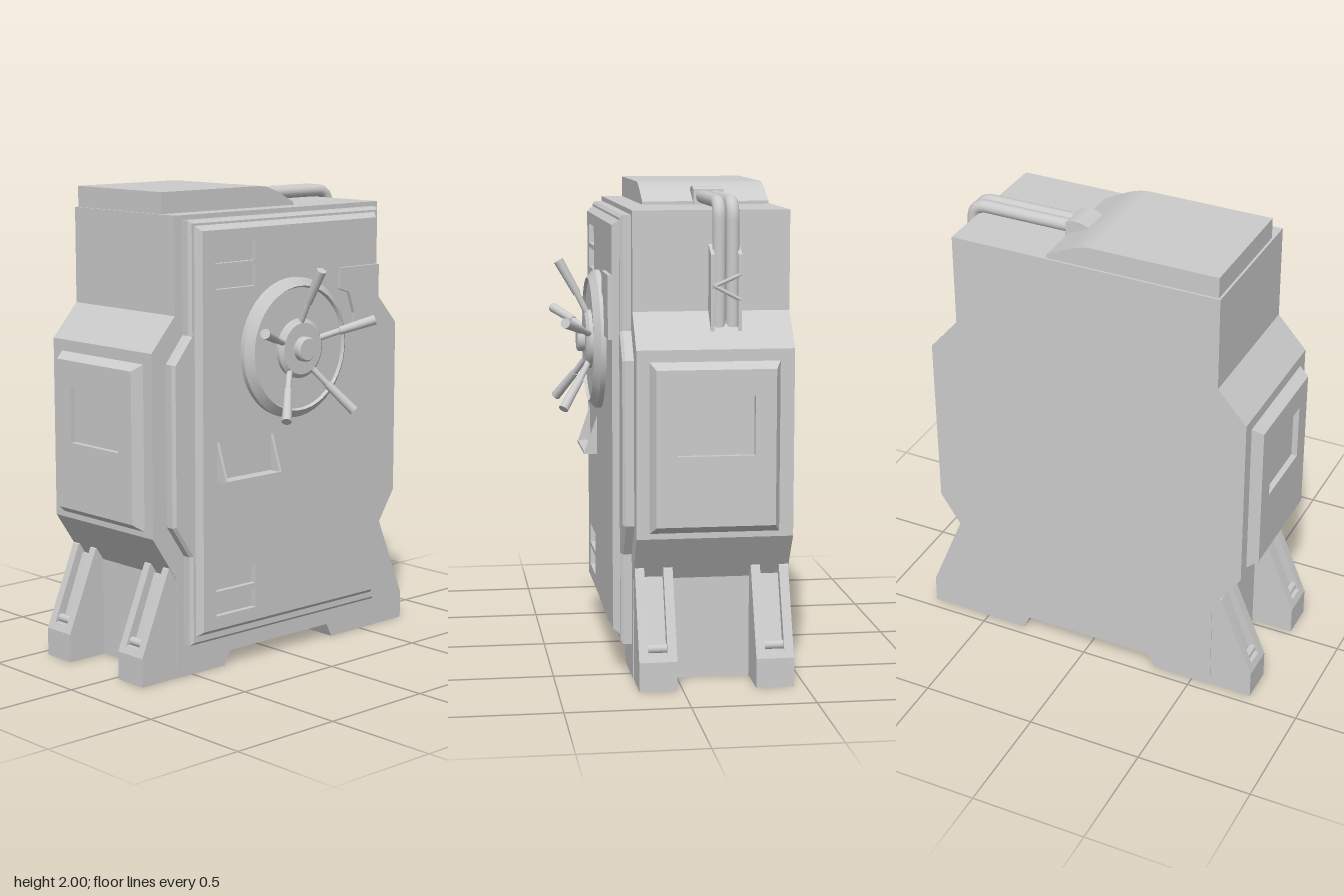
import * as THREE from 'three';
import { mergeGeometries } from 'three/addons/utils/BufferGeometryUtils.js';

const mat = new THREE.MeshStandardMaterial({ color: 0xcccccc });
const thinMat = new THREE.MeshStandardMaterial({ color: 0xcccccc, side: THREE.DoubleSide });

function add(parent, name, geo, material = mat) {
  const mesh = new THREE.Mesh(geo, material);
  mesh.name = name;
  parent.add(mesh);
  return mesh;
}

const shapeOf = pts => new THREE.Shape(pts.map(p => new THREE.Vector2(p[0], p[1])));
const mirrored = half => [...half, ...half.map(([x, y]) => [-x, y]).reverse()];
const rect = (x0, y0, x1, y1) => [[x0, y0], [x1, y0], [x1, y1], [x0, y1]];

// Prism from an outline in x/y, running from z0 to z1
function prism(pts, z0, z1, bevel = 0) {
  const geo = new THREE.ExtrudeGeometry(pts instanceof THREE.Shape ? pts : shapeOf(pts), {
    depth: z1 - z0 - 2 * bevel, bevelEnabled: bevel > 0, bevelSize: bevel,
    bevelThickness: bevel, bevelOffset: -bevel, bevelSegments: 1, curveSegments: 12,
  });
  return geo.translate(0, 0, z0 + bevel);
}

// Flat-sided walls between two counter-clockwise loops
function band(a, za, b, zb) {
  const v = [], uv = [];
  a.forEach((p, i) => {
    const j = (i + 1) % a.length, q = a[j], r = b[j], s = b[i];
    v.push(...p, za, ...q, za, ...r, zb, ...p, za, ...r, zb, ...s, zb);
    uv.push(0, 0, 1, 0, 1, 1, 0, 0, 1, 1, 0, 1);
  });
  const geo = new THREE.BufferGeometry();
  geo.setAttribute('position', new THREE.Float32BufferAttribute(v, 3));
  geo.setAttribute('uv', new THREE.Float32BufferAttribute(uv, 2));
  geo.computeVertexNormals();
  return geo;
}

// Raised panel with sloping edges and rectangular pockets
function pocketPanel(outer, inner, z0, z1, pockets, floorZ) {
  const face = shapeOf(inner);
  const parts = [band(outer, z0, inner, z1)];
  for (const p of pockets) {
    face.holes.push(new THREE.Path(p.map(q => new THREE.Vector2(q[0], q[1]))));
    parts.push(band(p, z1, p, floorZ));
    parts.push(new THREE.ShapeGeometry(shapeOf(p)).toNonIndexed().translate(0, 0, floorZ));
  }
  parts.push(new THREE.ShapeGeometry(face).toNonIndexed().translate(0, 0, z1));
  return mergeGeometries(parts);
}

// Round bar between two points
function bar(a, b, r0, r1, sides = 16) {
  const d = b.clone().sub(a);
  const geo = new THREE.CylinderGeometry(r1, r0, d.length(), sides);
  geo.applyQuaternion(new THREE.Quaternion().setFromUnitVectors(new THREE.Vector3(0, 1, 0), d.clone().normalize()));
  return geo.translate(...a.clone().add(b).multiplyScalar(0.5).toArray());
}

// Turned part whose axis points to the front, with each profile step kept sharp
function turned(profile) {
  const parts = [];
  for (let i = 0; i + 1 < profile.length; i++) {
    parts.push(new THREE.LatheGeometry([profile[i], profile[i + 1]].map(p => new THREE.Vector2(...p)), 48));
  }
  return mergeGeometries(parts).rotateX(Math.PI / 2);
}

function addFeet(root) {
  const rail = [[0.57, 0], [0.77, 0], [0.77, 0.12], [0.625, 0.47], [0.61, 0.48], [0.57, 0.44]];
  const core = [[0.57, 0], [0.77, 0], [0.77, 0.12], [0.757, 0.15], [0.715, 0.15], [0.605, 0.43], [0.57, 0.43]];
  for (const side of [1, -1]) {
    for (const z of [0.1, -0.375]) {
      const foot = new THREE.Group();
      foot.name = 'foot';
      for (const o of [-0.058, 0.058]) add(foot, 'footRail', prism(rail, o - 0.019, o + 0.019));
      add(foot, 'footCore', prism(core, -0.04, 0.04));
      add(foot, 'footPin', new THREE.CylinderGeometry(0.018, 0.018, 0.08, 12).rotateX(Math.PI / 2).translate(0.725, 0.165, 0));
      foot.position.z = z;
      if (side < 0) foot.rotation.y = Math.PI;
      root.add(foot);
    }
  }
}

function addWheel(root) {
  const wheel = new THREE.Group();
  wheel.name = 'lockWheel';
  wheel.position.y = 1.335;
  // Profile runs from the rim's back edge to the centre
  add(wheel, 'dialPlate', turned([[0.295, 0.24], [0.295, 0.275], [0.262, 0.303], [0.255, 0.29], [0, 0.29]]));
  add(wheel, 'hub', turned([[0.125, 0.28], [0.125, 0.305], [0.108, 0.318], [0.052, 0.318], [0.052, 0.343], [0.045, 0.35], [0, 0.35]]));
  for (let i = 0; i < 5; i++) {
    const spoke = new THREE.Group();
    spoke.name = 'spoke';
    const root0 = new THREE.Vector3(0, 0.1, 0.3);
    const grip0 = new THREE.Vector3(0, 0.195, 0.347);
    const grip1 = new THREE.Vector3(0, 0.335, 0.425);
    add(spoke, 'spokeRod', bar(root0, grip0, 0.013, 0.013));
    add(spoke, 'spokeGrip', bar(grip0, grip1, 0.017, 0.021));
    spoke.rotation.z = i * Math.PI * 2 / 5;
    wheel.add(spoke);
  }
  root.add(wheel);
}

function addPipes(root) {
  const pipes = new THREE.Group();
  pipes.name = 'pipes';
  for (const z of [-0.217, -0.163]) {
    const path = new THREE.CurvePath();
    const v = (x, y) => new THREE.Vector3(x, y, z);
    path.add(new THREE.LineCurve3(v(0.12, 1.944), v(0.55, 1.944)));
    path.add(new THREE.QuadraticBezierCurve3(v(0.55, 1.944), v(0.617, 1.944), v(0.617, 1.877)));
    path.add(new THREE.LineCurve3(v(0.617, 1.877), v(0.617, 1.45)));
    add(pipes, 'pipe', new THREE.TubeGeometry(path, 80, 0.027, 14));
  }
  // Domed clamp on the roof
  const clamp = new THREE.Shape();
  clamp.moveTo(0.06, 1.9);
  clamp.lineTo(0.18, 1.9);
  clamp.lineTo(0.175, 1.975);
  clamp.quadraticCurveTo(0.12, 2.0, 0.065, 1.965);
  add(pipes, 'roofClamp', prism(clamp, -0.252, -0.125));
  // Side guard: two cheeks with slanted straps across them
  const cheek = [[0.57, 1.785], [0.655, 1.74], [0.655, 1.435], [0.57, 1.53]].reverse();
  for (const z of [-0.25, -0.14]) add(pipes, 'guardCheek', prism(cheek, z, z + 0.015));
  for (const [y0, y1] of [[1.56, 1.62], [1.66, 1.61]]) {
    add(pipes, 'guardStrap', bar(new THREE.Vector3(0.65, y0, -0.245), new THREE.Vector3(0.65, y1, -0.13), 0.008, 0.008, 6));
  }
  root.add(pipes);
}

function addHolder(root) {
  const holder = new THREE.Group();
  holder.name = 'documentHolder';
  // Triangular end walls, drawn in z/y and turned to face sideways
  const end = [[-0.24, 0.815], [-0.24, 1.02], [-0.31, 0.815]];
  for (const x of [-0.425, -0.122]) {
    add(holder, 'holderEnd', prism(end, 0, 0.012).rotateY(Math.PI / 2).translate(x, 0, 0), thinMat);
  }
  add(holder, 'holderFloor', new THREE.BoxGeometry(0.315, 0.012, 0.07).translate(-0.2675, 0.821, 0.275));
  root.add(holder);
}

export function createModel() {
  const root = new THREE.Group();
  root.name = 'safe';

  // Main casing with wide waist and a notch under the base
  const casing = mirrored([[0.29, 0.06], [0.32, 0], [0.585, 0], [0.585, 0.42], [0.71, 0.61], [0.71, 1.37], [0.585, 1.51], [0.585, 1.912]]);
  add(root, 'casing', prism(casing, -0.455, 0.18));

  // Roof cover sweeping down on one side
  const cover = new THREE.Shape();
  cover.moveTo(-0.575, 1.9);
  cover.lineTo(0.165, 1.9);
  cover.lineTo(0.165, 1.925);
  cover.lineTo(0.07, 1.972);
  cover.quadraticCurveTo(0.01, 2.0, -0.04, 2.0);
  cover.lineTo(-0.575, 2.0);
  add(root, 'roofCover', prism(cover, -0.445, 0.088));

  // Door frame and door
  const frame = mirrored([[0.545, 0.138], [0.545, 0.515], [0.635, 0.65], [0.635, 1.32], [0.545, 1.43], [0.545, 1.892]]);
  add(root, 'doorFrame', prism(frame, 0.16, 0.226, 0.012));
  const slots = [[1.715, 1.8], [1.61, 1.695], [0.355, 0.44], [0.25, 0.335]].map(([a, b]) => rect(-0.43, a, -0.21, b));
  add(root, 'door', pocketPanel(rect(-0.525, 0.17, 0.525, 1.875), rect(-0.5, 0.195, 0.5, 1.85), 0.22, 0.253, slots, 0.23));
  add(root, 'doorPlate', prism([[0.27, 1.65], [0.27, 1.56], [0.325, 1.54], [0.355, 1.45], [0.355, 1.39], [0.505, 1.39], [0.505, 1.65]], 0.24, 0.27));

  // Side panels with recessed windows
  for (const side of [1, -1]) {
    const panel = add(root, 'sidePanel', pocketPanel(
      rect(-0.265, 0.63, 0.265, 1.325), rect(-0.24, 0.665, 0.24, 1.295), 0.705, 0.755,
      [rect(-0.155, 0.95, 0.155, 1.19)], 0.73));
    panel.rotation.y = side * Math.PI / 2;
    panel.position.z = -0.135;
  }

  addFeet(root);
  addWheel(root);
  addHolder(root);
  addPipes(root);
  return root;
}
